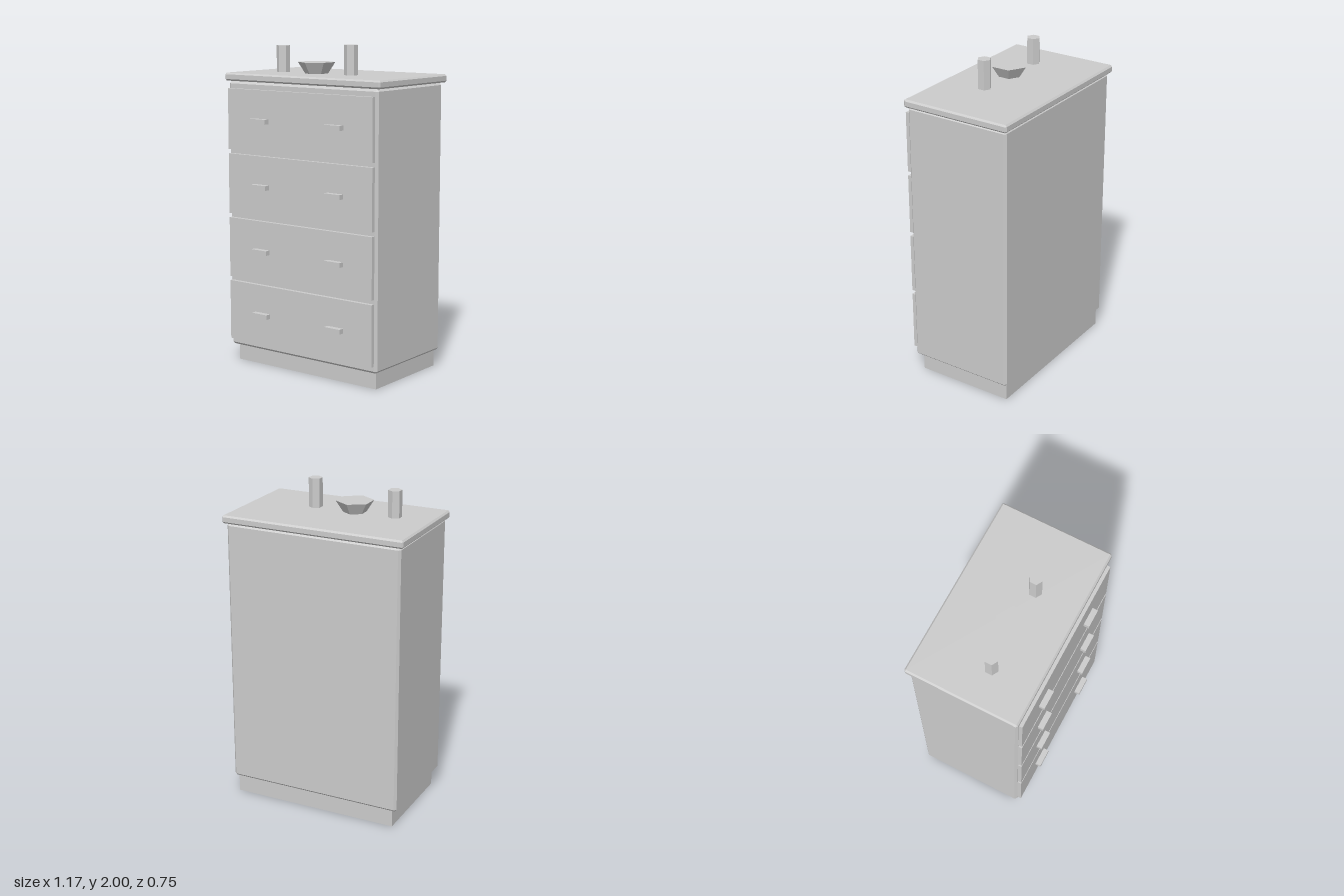
import * as THREE from 'three';
import { ConvexGeometry } from 'three/addons/geometries/ConvexGeometry.js';

const grey = new THREE.MeshStandardMaterial({ color: 0xcccccc, flatShading: true });
const greyOpen = new THREE.MeshStandardMaterial({ color: 0xcccccc, flatShading: true, side: THREE.DoubleSide });

function add(parent, name, geometry, x, y, z, material = grey) {
  const mesh = new THREE.Mesh(geometry, material);
  mesh.name = name;
  mesh.position.set(x, y, z);
  parent.add(mesh);
  return mesh;
}

// Box with every edge chamfered by c
function chamferBox(w, h, d, c) {
  const points = [];
  for (const sx of [-1, 1]) for (const sy of [-1, 1]) for (const sz of [-1, 1]) {
    const x = w / 2, y = h / 2, z = d / 2;
    points.push(
      new THREE.Vector3(sx * x, sy * (y - c), sz * (z - c)),
      new THREE.Vector3(sx * (x - c), sy * y, sz * (z - c)),
      new THREE.Vector3(sx * (x - c), sy * (y - c), sz * z));
  }
  return new ConvexGeometry(points);
}

export function createModel() {
  const model = new THREE.Group();
  model.name = 'chestOfDrawers';
  const cx = -0.002;

  // Plinth: four walls, open underneath
  const plinth = new THREE.CylinderGeometry(Math.SQRT1_2, Math.SQRT1_2, 1, 4, 1, true);
  plinth.rotateY(Math.PI / 4).scale(1.064, 0.107, 0.622);
  add(model, 'plinth', plinth, cx, 0.0535, -0.036, greyOpen);

  // Carcass and overhanging top
  add(model, 'carcass', chamferBox(1.122, 1.664, 0.677, 0.014), cx, 0.938, -0.022);
  add(model, 'top', chamferBox(1.166, 0.049, 0.706, 0.01), cx, 1.796, -0.025);

  // Four drawers, each with two bar handles
  for (let i = 0; i < 4; i++) {
    const drawer = new THREE.Group();
    drawer.name = 'drawer' + (i + 1);
    drawer.position.set(cx, 0.337 + i * 0.401, 0);
    add(drawer, 'drawerFront', new THREE.BoxGeometry(1.09, 0.374, 0.028), 0, 0, 0.327);
    for (const side of [-1, 1]) {
      add(drawer, side > 0 ? 'leftHandle' : 'rightHandle',
        new THREE.BoxGeometry(0.116, 0.029, 0.036), side * 0.281, 0, 0.358);
    }
    model.add(drawer);
  }

  // Six-sided ornaments standing on the top
  const ornament = (name, rTop, rBottom, yTop, x) => {
    const h = yTop - 1.82;
    add(model, name, new THREE.CylinderGeometry(rTop, rBottom, h, 6), x, 1.82 + h / 2, 0.046);
  };
  ornament('rightCandle', 0.042, 0.042, 1.984, -0.348);
  ornament('bowl', 0.115, 0.07, 1.89, -0.088);
  ornament('leftCandle', 0.042, 0.042, 2, 0.173);

  return model;
}
